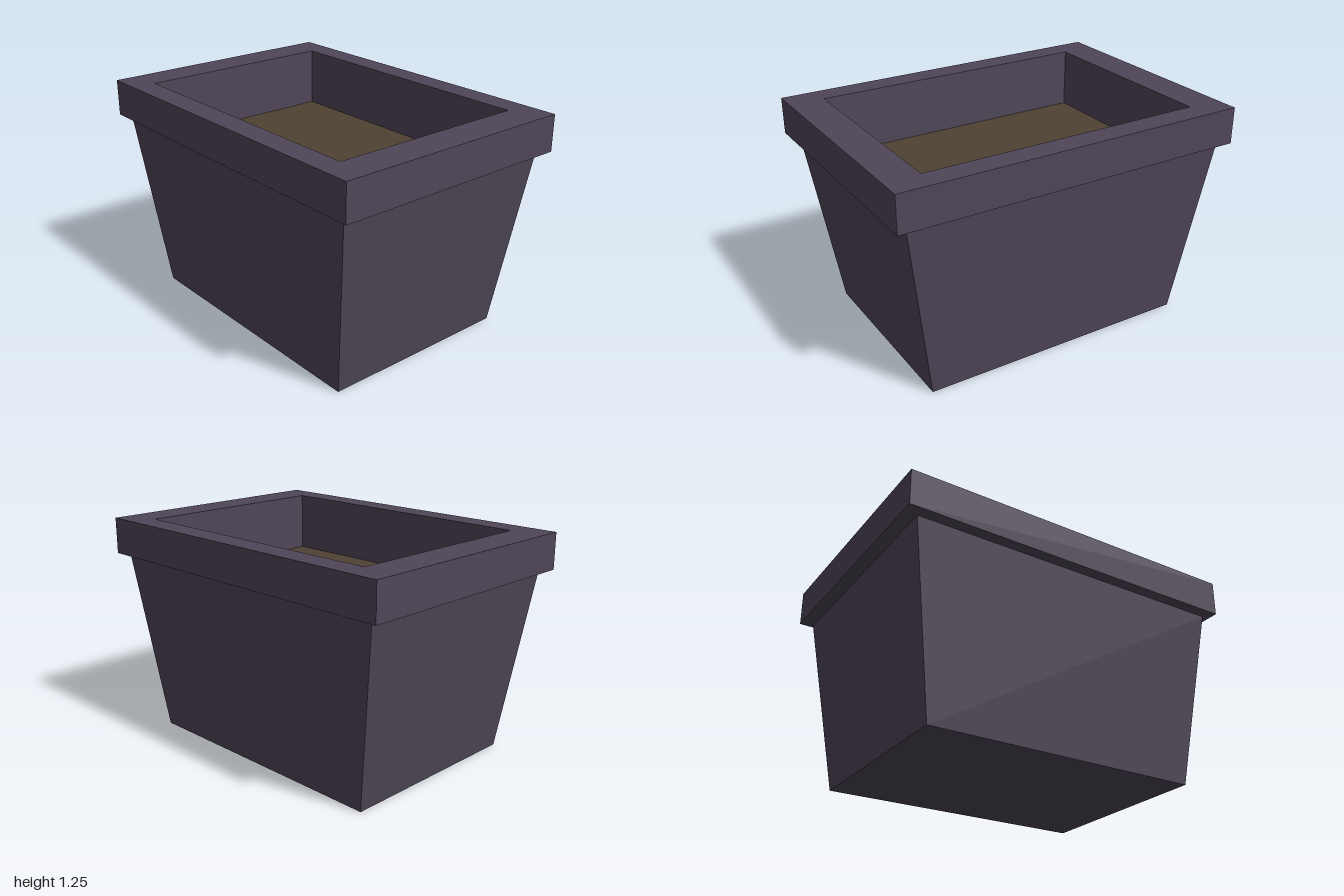
import * as THREE from 'three';

// Flat-shaded shell through rectangular rings [halfX, y, halfZ], listed from bottom outside to top inside
function ringShell(rings, capBottom = false) {
  const corner = ([x, y, z], i) => [
    [x, y, z], [x, y, -z], [-x, y, -z], [-x, y, z],
  ][i % 4];
  const pos = [];
  const quad = (a, b, c, d) => pos.push(...a, ...b, ...c, ...a, ...c, ...d);
  for (let r = 0; r < rings.length - 1; r++) {
    for (let i = 0; i < 4; i++) {
      quad(corner(rings[r], i), corner(rings[r], i + 1),
        corner(rings[r + 1], i + 1), corner(rings[r + 1], i));
    }
  }
  if (capBottom) quad(...[3, 2, 1, 0].map((i) => corner(rings[0], i)));
  const geo = new THREE.BufferGeometry();
  geo.setAttribute('position', new THREE.Float32BufferAttribute(pos, 3));
  geo.computeVertexNormals();
  return geo;
}

export function createModel() {
  const group = new THREE.Group();
  group.name = 'planter';

  const clay = new THREE.MeshStandardMaterial({ color: 0x4f4657 });
  clay.name = 'dark purple clay';
  const earth = new THREE.MeshStandardMaterial({ color: 0x4f4234 });
  earth.name = 'brown soil';

  const add = (name, geo, mat) => {
    const mesh = new THREE.Mesh(geo, mat);
    mesh.name = name;
    group.add(mesh);
    return mesh;
  };

  // Tapered pot with a closed base
  add('body', ringShell([[0.785, 0, 0.56], [0.935, 1.026, 0.665]], true), clay);

  // Rim: sloped underside, outer band, flat top, inner walls down to the soil
  add('rim', ringShell([
    [0.935, 1.026, 0.665],
    [1, 1.042, 0.71],
    [1, 1.247, 0.71],
    [0.805, 1.247, 0.575],
    [0.805, 0.91, 0.575],
  ]), clay);

  // Soil surface
  const soil = add('soil', new THREE.PlaneGeometry(1.61, 1.15), earth);
  soil.rotation.x = -Math.PI / 2;
  soil.position.y = 0.91;

  return group;
}
